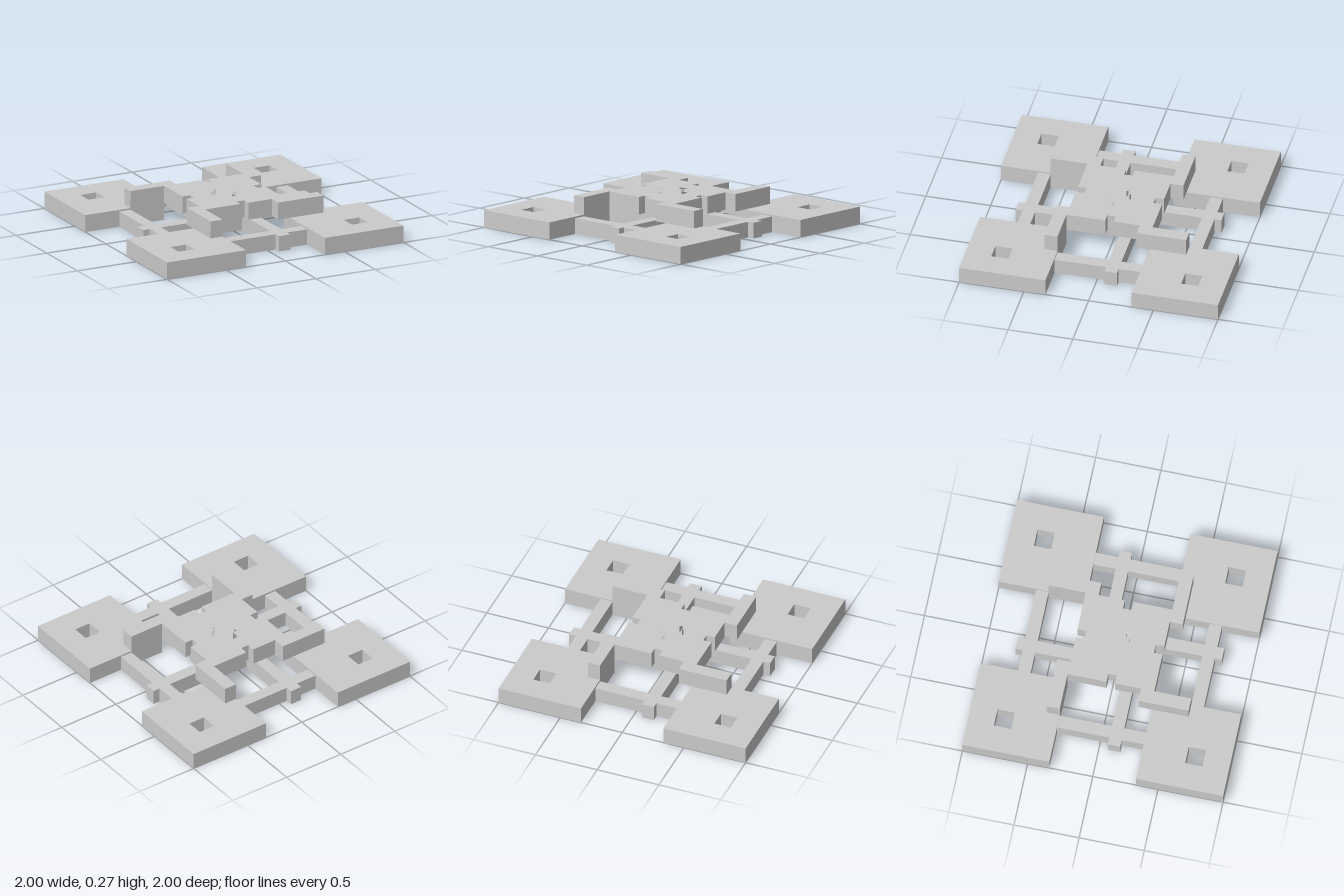
import * as THREE from 'three';

const material = new THREE.MeshStandardMaterial({ color: 0xcccccc, flatShading: true });
const V = (x, z) => new THREE.Vector2(x, z);

// Repeats the points of one side for all four sides, a quarter turn each
function fourSides(side) {
  const points = [];
  for (let i = 0; i < 4; i++) {
    // corner order runs from the front to the right, back and left
    for (const [x, z] of side) {
      let px = x, pz = z;
      for (let k = 0; k < i; k++) [px, pz] = [pz, -px];
      points.push(V(px, pz));
    }
  }
  return points;
}

const rect = (x0, x1, z0, z1) => [V(x0, z0), V(x1, z0), V(x1, z1), V(x0, z1)];

// Slab with a plan outline in x and z, between two heights
function slab(name, outline, y0, y1, hole) {
  const shape = new THREE.Shape(outline);
  if (hole) shape.holes.push(new THREE.Path(hole));
  const geometry = new THREE.ExtrudeGeometry(shape, { depth: y1 - y0, bevelEnabled: false });
  geometry.rotateX(Math.PI / 2).translate(0, y1, 0);
  const mesh = new THREE.Mesh(geometry, material);
  mesh.name = name;
  return mesh;
}

export function createModel() {
  const model = new THREE.Group();
  model.name = 'interlockingFrame';

  // Corner pads and the lower pinwheel of beams, one quarter at a time
  const padHeight = 0.133, beamHeight = 0.12;
  for (let i = 0; i < 4; i++) {
    const quarter = new THREE.Group();
    quarter.name = 'baseQuarter' + (i + 1);
    quarter.rotation.y = i * Math.PI / 2;
    quarter.add(
      slab('cornerPad', rect(0.333, 1, 0.333, 1), 0, padHeight, rect(0.667, 0.8, 0.667, 0.8)),
      slab('edgeBeam', rect(-0.333, 0.333, 0.617, 0.713), 0, beamHeight),
      slab('spokeBeam', rect(0.067, 0.162, -0.067, 0.617), 0, beamHeight),
      slab('spokeTip', rect(0.067, 0.162, 0.713, 0.767), 0, beamHeight),
    );
    model.add(quarter);
  }

  // Upper plate: notched sides, with an arm reaching over each pad
  const plate = fourSides([
    [-0.333, 0.333], [-0.033, 0.333], [-0.033, 0.267], [0.033, 0.267], [0.033, 0.333],
    [0.233, 0.333], [0.233, 0.433], [0.617, 0.433], [0.617, 0.333],
  ]);
  // Stepped cross pocket sunk into the top
  const cross = fourSides([
    [-0.067, 0.067], [-0.033, 0.067], [-0.033, 0.137], [0.033, 0.137], [0.033, 0.067],
  ]);
  model.add(
    slab('plateBottom', plate, padHeight, 0.2),
    slab('plateTop', plate, 0.2, 0.267, cross),
  );
  return model;
}
